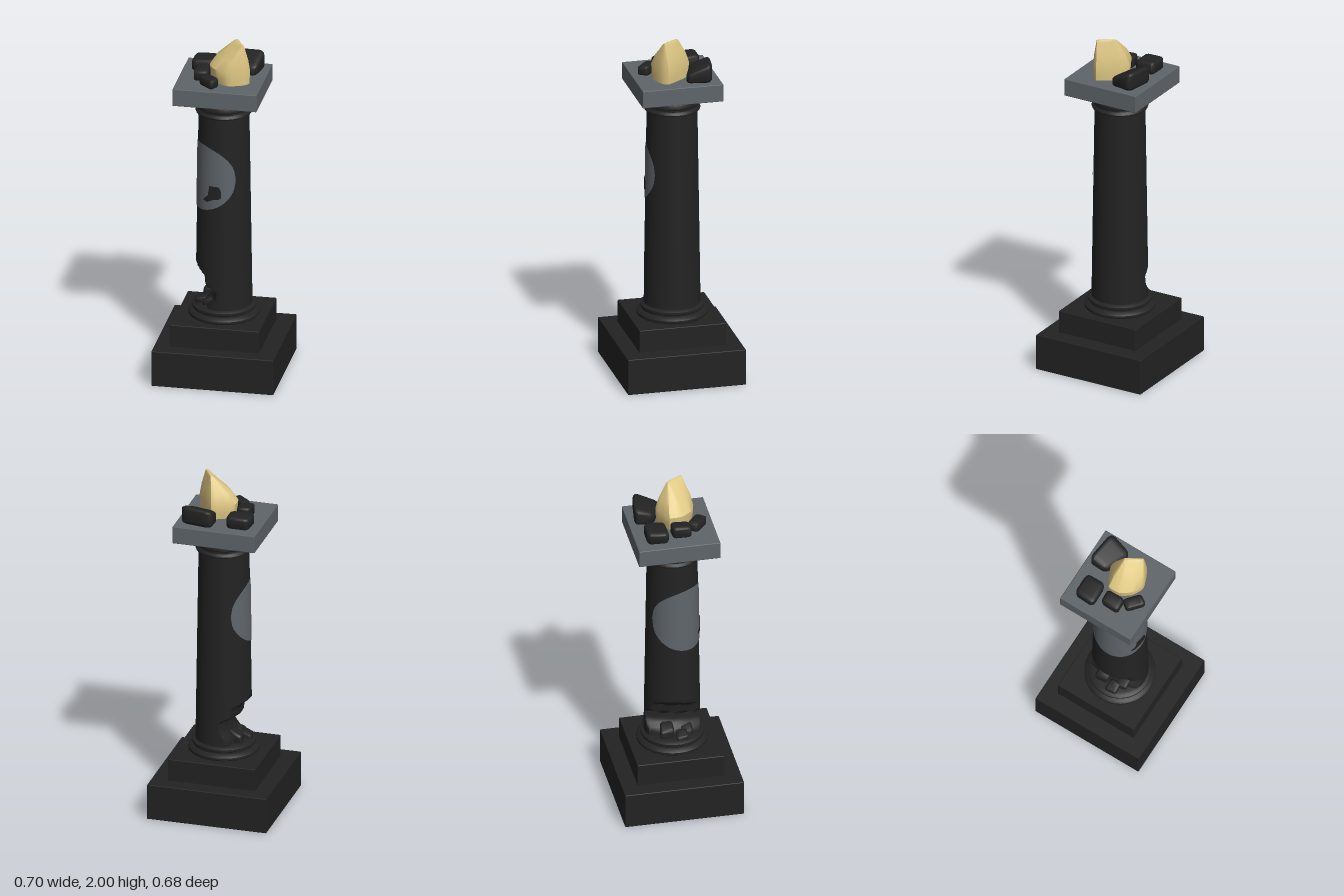
import * as THREE from 'three';
import { toCreasedNormals } from 'three/addons/utils/BufferGeometryUtils.js';
import { RoundedBoxGeometry } from 'three/addons/geometries/RoundedBoxGeometry.js';

const mat = (name, color, side = THREE.FrontSide) => {
  const m = new THREE.MeshStandardMaterial({ color, side });
  m.name = name;
  return m;
};
const darkStone = mat('dark stone', 0x232323);
const greyStone = mat('grey stone', 0x5f656a);
const gold = mat('pale gold', 0xdfc884);

const lerp = THREE.MathUtils.lerp;
const shaftRadius = (y) => lerp(0.16, 0.142, (y - 0.38) / 1.2);

// Linear interpolation through [position, value] pairs
function sample(points, t) {
  for (let i = 1; i < points.length; i++) {
    const [a, va] = points[i - 1], [b, vb] = points[i];
    if (t <= b) return lerp(va, vb, Math.max(0, (t - a) / (b - a)));
  }
  return points[points.length - 1][1];
}

// Move every vertex of a geometry by a rule
function reshape(geo, rule) {
  const p = geo.attributes.position, v = new THREE.Vector3();
  for (let i = 0; i < p.count; i++) {
    v.fromBufferAttribute(p, i);
    rule(v, i);
    p.setXYZ(i, v.x, v.y, v.z);
  }
  geo.computeVertexNormals();
  return geo;
}

// Rounded rock over four ground corners [x, z] (back left, back right, front right, front left)
function rockGeometry(c, y, heights) {
  const geo = reshape(new RoundedBoxGeometry(1, 1, 1, 3, 0.22), (v) => {
    const u = v.x + 0.5, w = v.z + 0.5, h = v.y + 0.5;
    const mix = (f) => lerp(lerp(f(0), f(1), u), lerp(f(3), f(2), u), w);
    v.set(mix((i) => c[i][0]), y + h * mix((i) => heights[i]), mix((i) => c[i][1]));
  });
  return toCreasedNormals(geo, 0.8);
}

// Shaft with a bite broken out of the -x side
function shaftGeometry() {
  const bite = [[0.36, -0.1], [0.43, -0.09], [0.48, -0.05], [0.53, -0.042], [0.565, -0.1],
    [0.62, -0.105], [0.67, -0.165], [0.7, -0.2]];
  const geo = new THREE.CylinderGeometry(0.142, 0.16, 1.2, 72, 96, true);
  geo.translate(0, 0.98, 0);
  reshape(geo, (v) => {
    if (v.y < 0.7) v.x = Math.max(v.x, sample(bite, v.y + 0.12 * v.z) + 1.3 * v.z * v.z);
  });
  return toCreasedNormals(geo, 0.7);
}

// Oval wrapped around the shaft
function patchGeometry() {
  return reshape(new THREE.PlaneGeometry(2, 2, 56, 6), (v) => {
    const a = THREE.MathUtils.degToRad(146 - 93 * v.x);
    const y = 1.2 + 0.2 * v.y * Math.sqrt(Math.max(0, 1 - v.x * v.x));
    const r = shaftRadius(y) + 0.004;
    v.set(r * Math.cos(a), y, r * Math.sin(a));
  });
}

// Small dark blotch on the oval, as a strip between two edges
function blotchGeometry() {
  const xs = [-0.09, -0.065, -0.055, -0.03, 0, 0.015];
  const top = [1.075, 1.1, 1.16, 1.16, 1.16, 1.13];
  const low = [1.065, 1.06, 1.068, 1.08, 1.085, 1.095];
  return reshape(new THREE.PlaneGeometry(1, 1, 5, 1), (v, i) => {
    const k = i % 6, y = i < 6 ? top[k] : low[k], r = shaftRadius(y) + 0.008;
    v.set(xs[k], y, Math.sqrt(r * r - xs[k] * xs[k]));
  });
}

// Nugget: rounded outline drawn in towards a slanting ridge as it rises
function nuggetGeometry() {
  const outline = [[-0.072, -0.03], [0, -0.068], [0.05, -0.085], [0.115, -0.01], [0.16, 0.06],
    [0.125, 0.1], [0.04, 0.13], [-0.03, 0.1], [-0.072, 0.04]];
  const curve = new THREE.CatmullRomCurve3(
    outline.map(([x, z]) => new THREE.Vector3(x, 0, z)), true, 'catmullrom', 0.3);
  const n = 27, base = curve.getPoints(n).slice(0, n);
  const ridge = new THREE.Line3(new THREE.Vector3(0.075, 0, -0.01), new THREE.Vector3(0.125, 0, 0.075));
  const rings = [[1.76, 0.1], [1.8, 0.03], [1.85, 0], [1.91, 0.27], [1.955, 0.6], [1.985, 0.82], [1.998, 0.93]];
  const pos = [], idx = [], near = new THREE.Vector3();
  rings.forEach(([y, t], r) => base.forEach((p, i) => {
    ridge.closestPointToPoint(p, true, near);
    const q = p.clone().lerp(near, t);
    pos.push(q.x, y, q.z);
    if (r === 0) return;
    const a = (r - 1) * n + i, b = (r - 1) * n + (i + 1) % n;
    idx.push(a, a + n, b, b, a + n, b + n);
  }));
  const last = (rings.length - 1) * n;
  pos.push(0.1, 2, 0.032);
  for (let i = 0; i < n; i++) idx.push(last + n, last + (i + 1) % n, last + i);
  const geo = new THREE.BufferGeometry();
  geo.setAttribute('position', new THREE.Float32BufferAttribute(pos, 3));
  geo.setIndex(idx);
  geo.computeVertexNormals();
  return toCreasedNormals(geo, 0.6);
}

export function createModel() {
  const model = new THREE.Group();
  model.name = 'brokenColumn';
  const add = (name, geo, material) => {
    const m = new THREE.Mesh(geo, material);
    m.name = name;
    model.add(m);
    return m;
  };
  const block = (name, w, y0, y1, d, x, z, material) =>
    add(name, new RoundedBoxGeometry(w, y1 - y0, d, 1, 0.004), material).position.set(x, (y0 + y1) / 2, z);
  const moulding = (name, profile) => add(name, toCreasedNormals(
    new THREE.LatheGeometry(profile.map(([r, y]) => new THREE.Vector2(r, y)), 64), 0.7), darkStone);

  // Plinth and top slab
  block('lowerPlinth', 0.696, 0, 0.21, 0.68, 0, 0, darkStone);
  block('upperPlinth', 0.505, 0.2, 0.34, 0.5, -0.003, 0, darkStone);
  block('topSlab', 0.48, 1.663, 1.765, 0.465, -0.01, -0.007, greyStone);

  // Column
  add('shaft', shaftGeometry(), darkStone);
  moulding('baseMoulding', [[0.19, 0.335], [0.2, 0.345], [0.2, 0.358], [0.19, 0.368], [0.172, 0.374],
    [0.172, 0.382], [0.18, 0.388], [0.18, 0.4], [0.168, 0.408], [0.15, 0.412], [0, 0.414]]);
  moulding('capitalMoulding', [[0.142, 1.562], [0.156, 1.565], [0.159, 1.573], [0.154, 1.582], [0.146, 1.588],
    [0.146, 1.6], [0.153, 1.606], [0.153, 1.625], [0.148, 1.632], [0.157, 1.642], [0.17, 1.652], [0.175, 1.666]]);

  // Painted oval and blotch
  add('ovalPatch', patchGeometry(), greyStone);
  add('patchBlotch', blotchGeometry(), darkStone);

  // Rubble in the broken part: [x, z, half size, height]
  [[-0.125, 0.03, 0.035, 0.05], [-0.09, -0.05, 0.04, 0.09], [-0.075, 0.065, 0.035, 0.06]].forEach(([x, z, s, h]) =>
    add('rubble', rockGeometry([[x - s, z - s], [x + s, z - s * 0.8], [x + s, z + s], [x - s * 0.8, z + s]],
      0.4, [h * 0.6, h, h, h * 0.7]), darkStone));

  // Stones on the slab
  [
    ['squareStone', [[-0.193, -0.178], [-0.062, -0.178], [-0.058, -0.058], [-0.2, -0.054]], [0.075, 0.08, 0.07, 0.07]],
    ['largeStone', [[0.012, -0.212], [0.205, -0.185], [0.17, -0.035], [0.01, -0.1]], [0.11, 0.125, 0.055, 0.07]],
    ['smallStone', [[-0.158, -0.026], [-0.08, -0.03], [-0.076, 0.08], [-0.16, 0.083]], [0.075, 0.075, 0.065, 0.065]],
    ['slantedStone', [[-0.085, 0.068], [0.0, 0.14], [-0.035, 0.195], [-0.122, 0.12]], [0.06, 0.06, 0.055, 0.055]],
  ].forEach(([name, corners, heights]) => add(name, rockGeometry(corners, 1.76, heights), darkStone));

  // Golden nugget
  add('nugget', nuggetGeometry(), gold);
  return model;
}
